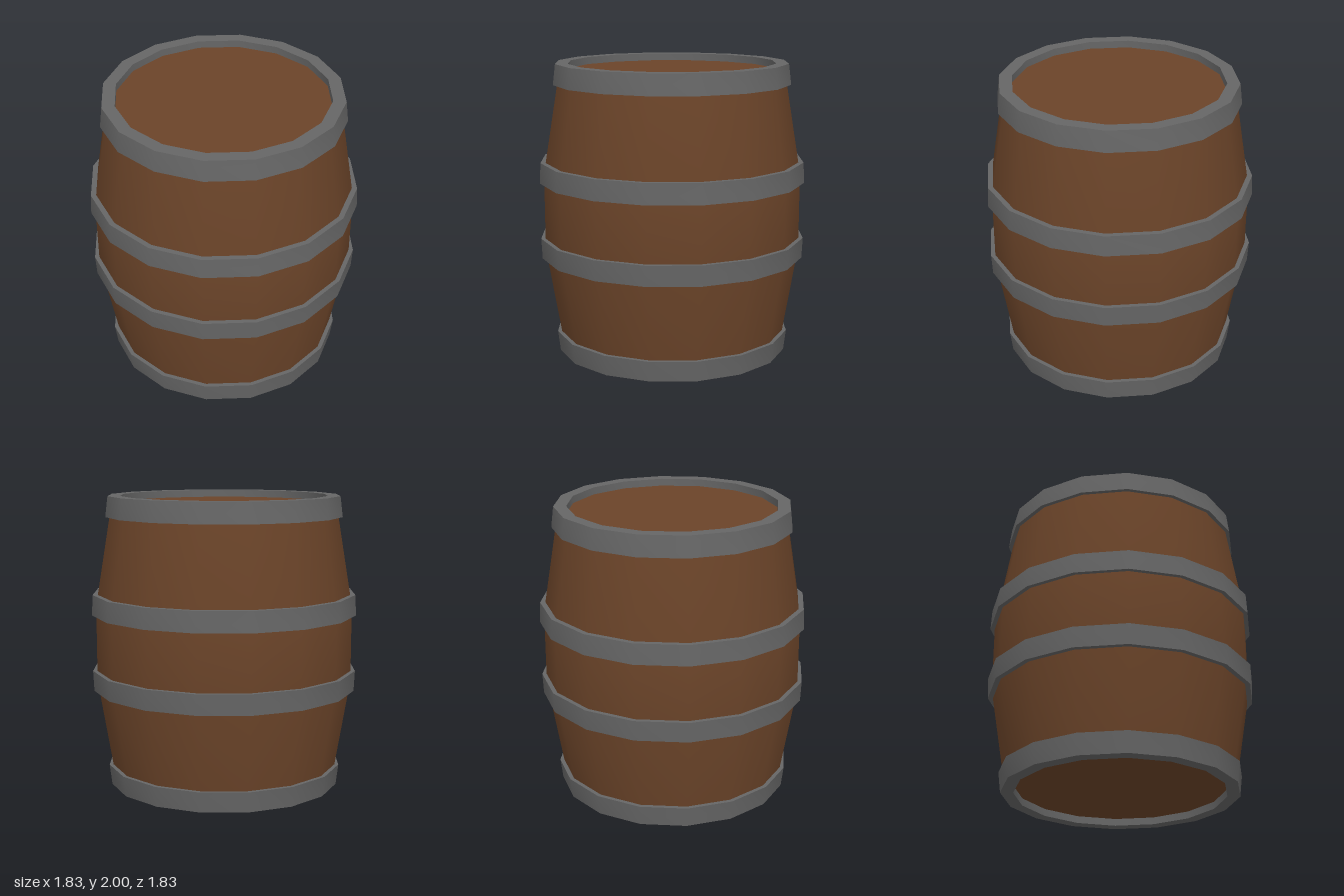
import * as THREE from 'three';
import { toCreasedNormals } from 'three/addons/utils/BufferGeometryUtils.js';

const SIDES = 16;
const wood = new THREE.MeshStandardMaterial({ color: 0x6b4429 });
const metal = new THREE.MeshStandardMaterial({ color: 0x666666 });

// Revolve a [radius, height] profile, smooth around and sharp at the rims
function turned(name, profile, material) {
  const points = profile.map(([r, y]) => new THREE.Vector2(r, y));
  const geometry = toCreasedNormals(new THREE.LatheGeometry(points, SIDES), 0.6);
  const mesh = new THREE.Mesh(geometry, material);
  mesh.name = name;
  return mesh;
}

// Closed metal ring with slightly tapered outer face
function hoop(name, y0, y1, r0, r1, inner) {
  return turned(name, [[inner, y0], [r0, y0], [r1, y1], [inner, y1], [inner, y0]], metal);
}

export function createModel() {
  const barrel = new THREE.Group();
  barrel.name = 'barrel';

  // Bulging staves with lids recessed behind the end hoops
  barrel.add(turned('staves', [
    [0, 0.05], [0.77, 0.05], [0.885, 0.74],
    [0.885, 1.26], [0.77, 1.95], [0, 1.95],
  ], wood));

  // End hoops form the thick rims
  barrel.add(hoop('bottomHoop', 0, 0.14, 0.796, 0.813, 0.71));
  barrel.add(hoop('topHoop', 1.86, 2, 0.813, 0.796, 0.71));

  // Thin hoops around the belly
  barrel.add(hoop('lowerHoop', 0.67, 0.81, 0.908, 0.915, 0.86));
  barrel.add(hoop('upperHoop', 1.195, 1.335, 0.915, 0.908, 0.86));

  return barrel;
}
